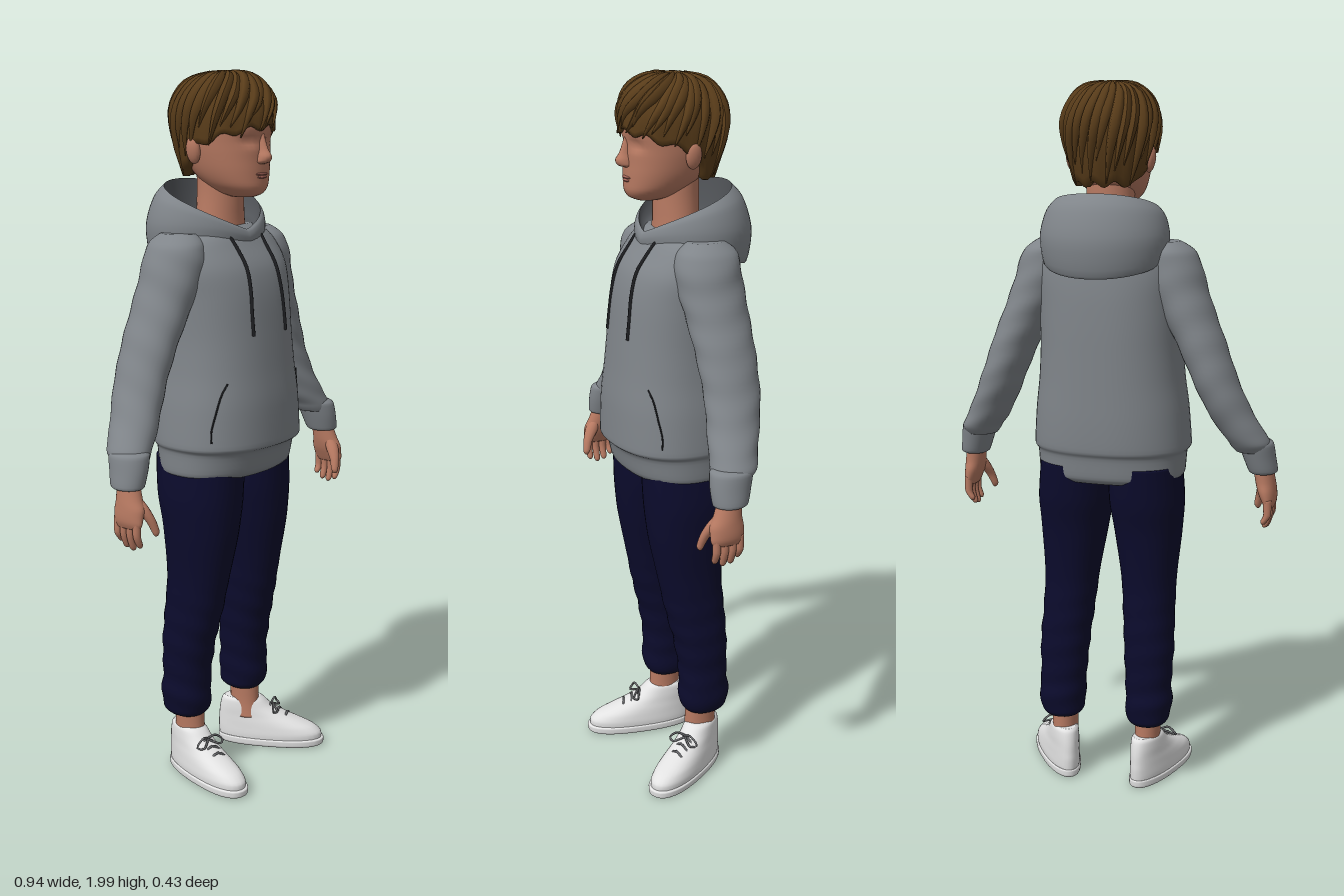
import * as THREE from 'three';

const paint = (name, color, side = THREE.FrontSide) => {
  const m = new THREE.MeshStandardMaterial({ color, side });
  m.name = name;
  return m;
};

// Smooth, overshoot-free interpolation of a table of section rows
function refine(rows, n = 4) {
  const slope = (i, k) => {
    if (i === 0 || i === rows.length - 1) return 0;
    const a = rows[i][k] - rows[i - 1][k], b = rows[i + 1][k] - rows[i][k];
    return a * b <= 0 ? 0 : 2 * a * b / (a + b);
  };
  const out = [];
  for (let i = 0; i < rows.length - 1; i++) for (let j = 0; j < n; j++) {
    const t = j / n, t2 = t * t, t3 = t2 * t;
    out.push(rows[i].map((a, k) => a * (2 * t3 - 3 * t2 + 1) + rows[i + 1][k] * (3 * t2 - 2 * t3)
      + slope(i, k) * (t3 - 2 * t2 + t) + slope(i + 1, k) * (t3 - t2)));
  }
  out.push(rows[rows.length - 1]);
  return out;
}

// Closed rings stacked from bottom to top; angle 0 is the front (+z)
function rings(count, seg, point, caps) {
  const pos = [], idx = [];
  for (let i = 0; i < count; i++) for (let j = 0; j < seg; j++) pos.push(...point(i, j / seg * Math.PI * 2).toArray());
  for (let i = 0; i < count - 1; i++) for (let j = 0; j < seg; j++) {
    const k = (j + 1) % seg, a = i * seg + j, b = i * seg + k;
    idx.push(a, b, a + seg, b, b + seg, a + seg);
  }
  if (caps) for (const i of [0, count - 1]) {
    const c = new THREE.Vector3(), n = pos.length / 3;
    for (let j = 0; j < seg; j++) c.add(point(i, j / seg * Math.PI * 2));
    pos.push(...c.divideScalar(seg).toArray());
    for (let j = 0; j < seg; j++) {
      const a = i * seg + j, b = i * seg + (j + 1) % seg;
      idx.push(...(i ? [a, b, n] : [b, a, n]));
    }
  }
  const g = new THREE.BufferGeometry();
  g.setAttribute('position', new THREE.Float32BufferAttribute(pos, 3));
  g.setIndex(idx);
  g.computeVertexNormals();
  return g;
}

// Rows are [y, centre x, front z, back z, half width]
function loft(rows, { seg = 32, p = 2, shape = null, n = 4 } = {}) {
  const d = refine(rows, n), pw = v => Math.sign(v) * Math.abs(v) ** (2 / p);
  return rings(d.length, seg, (i, a) => {
    const [y, x, f, b, r] = d[i];
    const v = new THREE.Vector3(r * pw(Math.sin(a)), y, (f - b) / 2 * pw(Math.cos(a)));
    if (shape) shape(v, a);
    return v.add(new THREE.Vector3(x, 0, (f + b) / 2));
  }, true);
}

const tube = (pts, r, n = 20) => new THREE.TubeGeometry(
  new THREE.CatmullRomCurve3(pts.map(q => new THREE.Vector3(...q))), n, r, 6);

const creases = (amount, freq, twist) => (v, a) => {
  const s = 1 + amount * Math.sin(v.y * freq + twist * Math.sin(a + 0.6));
  v.x *= s; v.z *= s;
};

const TORSO = [
  [0.905, 0, 0.14, -0.125, 0.19], [0.92, 0, 0.158, -0.138, 0.207], [0.98, 0, 0.175, -0.148, 0.212],
  [1.0, 0, 0.195, -0.158, 0.222], [1.1, 0, 0.192, -0.162, 0.215], [1.2, 0, 0.182, -0.162, 0.203],
  [1.3, 0, 0.172, -0.162, 0.198], [1.4, 0, 0.16, -0.16, 0.2], [1.47, 0, 0.142, -0.155, 0.205],
  [1.53, 0, 0.105, -0.145, 0.195], [1.565, 0, 0.08, -0.13, 0.16], [1.585, 0, 0.055, -0.11, 0.11]];
const TORSO_P = 2.3;
const torsoFine = refine(TORSO, 8);
// Point lying just on the front of the sweatshirt
function onTorso(x, y) {
  const [, , f, b, r] = torsoFine.reduce((m, q) => Math.abs(q[0] - y) < Math.abs(m[0] - y) ? q : m);
  return [x, y, (f + b) / 2 + (f - b) / 2 * (1 - Math.abs(x / r) ** TORSO_P) ** (1 / TORSO_P) + 0.001];
}

// Hair surface: t = 0 at the crown, 1 at the hairline
function hairPoint(a, t, lift = 1) {
  const c = Math.cos(a);
  const line = (c > 0 ? 1.795 + 0.05 * c : 1.795 - 0.075 * Math.min(1, -c * 1.8)) + 0.008 * Math.sin(a * 11);
  const y = line + (1.992 - line) * Math.cos(t * Math.PI / 2);
  const h = (y - 1.865) / 0.127;
  const r = (h > 0 ? Math.sqrt(Math.max(0, 1 - h * h)) : 1 - 0.14 * h * h) * lift
    * (1 + 0.012 * Math.sin(a * 17 + t * 5));
  return new THREE.Vector3(0.124 * r * Math.sin(a), y + (lift - 1) * 0.1, 0.004 + 0.146 * r * c);
}

export function createModel() {
  const model = new THREE.Group();
  const skin = paint('skin', 0xb87a62), lip = paint('lips', 0xa5665a), brown = paint('hair brown', 0x5a3d1a);
  const grey = paint('sweatshirt grey', 0x80858a), dark = paint('hood lining', 0x505357, THREE.DoubleSide);
  const navy = paint('trouser navy', 0x0b0b2c), white = paint('shoe white', 0xe2e2e2);
  const cord = paint('cord black', 0x1e1f22), lace = paint('lace grey', 0x6a6b6e);
  const add = (name, geo, mat, parent = model) => {
    const m = new THREE.Mesh(geo, mat);
    m.name = name;
    parent.add(m);
    return m;
  };

  // Head and neck
  add('neck', loft([[1.52, 0, 0.065, -0.075, 0.085], [1.6, 0, 0.055, -0.07, 0.072], [1.68, 0, 0.055, -0.07, 0.066],
    [1.74, 0, 0.05, -0.07, 0.066]]), skin);
  add('head', loft([[1.662, 0, 0.105, 0.04, 0.028], [1.672, 0, 0.128, 0, 0.05], [1.695, 0, 0.138, -0.04, 0.075],
    [1.73, 0, 0.138, -0.08, 0.092], [1.765, 0, 0.137, -0.1, 0.101], [1.8, 0, 0.137, -0.115, 0.107],
    [1.85, 0, 0.142, -0.122, 0.111], [1.9, 0, 0.13, -0.12, 0.108], [1.95, 0, 0.085, -0.085, 0.075],
    [1.965, 0, 0.04, -0.04, 0.035]], {
    seg: 48, p: 2.15, shape: (v, a) => {
      if (Math.cos(a) > 0) v.z -= 0.012 * Math.exp(-(((Math.abs(v.x) - 0.042) / 0.022) ** 2) - ((v.y - 1.812) / 0.014) ** 2);
    } }), skin);
  add('nose', loft([[1.75, 0, 0.142, 0.11, 0.012], [1.757, 0, 0.16, 0.11, 0.02], [1.77, 0, 0.166, 0.11, 0.018],
    [1.79, 0, 0.154, 0.11, 0.012], [1.83, 0, 0.14, 0.11, 0.009]], { seg: 16 }), skin);
  for (const [name, y, r] of [['upperLip', 1.724, 0.027], ['lowerLip', 1.716, 0.022]]) {
    const m = add(name, new THREE.SphereGeometry(1, 16, 8), lip);
    m.scale.set(r, 0.005, 0.012);
    m.position.set(0, y, 0.131);
  }

  // Hair cap with overlapping swept locks
  const hair = new THREE.Group();
  hair.name = 'hair';
  model.add(hair);
  add('hairCap', rings(21, 80, (i, a) => i ? hairPoint(a, 1 - (i - 1) / 19)
    : hairPoint(a, 1).multiply(new THREE.Vector3(0.84, 1, 0.84)), true), brown, hair);
  for (let i = 0; i < 30; i++) {
    const a = i / 30 * Math.PI * 2, front = Math.max(0, Math.cos(a));
    const end = 0.93 + 0.08 * Math.sin(i * 2.4) + 0.05 * front;
    const path = [0.12, 0.35, 0.6, 0.8, 1].map(t =>
      hairPoint(a + 0.55 * (1 - t) * (1 + front), t * end, 1.005 + 0.015 * Math.sin(i * 3.7)));
    const curve = new THREE.CatmullRomCurve3(path), g = new THREE.TubeGeometry(curve, 14, 0.016, 6);
    const pos = g.attributes.position, v = new THREE.Vector3();
    for (let k = 0; k < pos.count; k++) {
      const t = Math.floor(k / 7) / 14, c = curve.getPointAt(t);
      v.fromBufferAttribute(pos, k).sub(c).multiplyScalar(0.08 + 0.92 * Math.sin(Math.PI * t ** 0.8)).add(c);
      pos.setXYZ(k, v.x, v.y, v.z);
    }
    g.computeVertexNormals();
    add('hairLock', g, brown, hair);
  }

  // Sweatshirt body, hem rib and hood
  add('sweatshirtBody', loft(TORSO, { seg: 56, p: TORSO_P, n: 5 }), grey);
  const hoodPart = rows => {
    const d = refine(rows, 5);
    return rings(d.length, 56, (i, a) => {
      const [k0, kf, d0, df] = d[i], f = (1 - Math.cos(a)) / 2, k = k0 + kf * f * f;
      return new THREE.Vector3(0.147 * k * Math.sin(a), 1.575 + 0.125 * f ** 0.56 + d0 + df * f,
        -0.035 + 0.12 * k * Math.cos(a));
    });
  };
  add('hood', hoodPart([[0.95, 0, -0.04, -0.18], [1.07, 0.26, -0.042, -0.18], [1.1, 0.38, -0.022, -0.11],
    [1.06, 0.2, -0.006, -0.03], [1, 0, 0, 0]]), grey);
  add('hoodLining', hoodPart([[1, 0, 0, 0], [0.95, 0, -0.012, -0.03], [0.82, 0, -0.02, -0.08], [0.5, 0, -0.02, -0.1]]), dark);

  for (const s of [1, -1]) {
    const side = s > 0 ? 'left' : 'right';
    const mirror = rows => rows.map(([y, x, ...r]) => [y, x * s, ...r]);

    const ear = add(side + 'Ear', new THREE.SphereGeometry(1, 16, 12), skin);
    ear.scale.set(0.014, 0.036, 0.022);
    ear.position.set(0.112 * s, 1.785, -0.008);
    ear.rotation.z = -0.15 * s;

    // Drawstring and pocket edge
    add(side + 'Drawstring', tube([1.565, 1.53, 1.48, 1.42, 1.36, 1.3].map((y, i) =>
      onTorso(s * (0.066 - 0.004 * Math.sin(i)), y)), 0.005), cord);
    add(side + 'PocketEdge', tube([[0.15, 1.18], [0.165, 1.15], [0.18, 1.1], [0.19, 1.05], [0.192, 1.02]].map(([x, y]) =>
      onTorso(s * x, y)), 0.0025), cord);

    // Sleeve and cuff
    add(side + 'Sleeve', loft(mirror([[1.0, 0.4, 0.07, -0.035, 0.044], [1.02, 0.397, 0.072, -0.05, 0.056],
      [1.06, 0.372, 0.066, -0.066, 0.06], [1.13, 0.335, 0.055, -0.09, 0.061], [1.2, 0.305, 0.05, -0.105, 0.062],
      [1.3, 0.264, 0.055, -0.11, 0.067], [1.4, 0.217, 0.065, -0.11, 0.075], [1.48, 0.184, 0.075, -0.108, 0.082],
      [1.54, 0.172, 0.065, -0.1, 0.07], [1.57, 0.16, 0.03, -0.07, 0.04]]),
    { n: 6, shape: creases(0.016, 75, 3) }), grey);
    add(side + 'Cuff', loft(mirror([[0.935, 0.43, 0.075, -0.005, 0.034], [0.94, 0.43, 0.083, -0.012, 0.04],
      [0.98, 0.42, 0.086, -0.025, 0.045], [1.02, 0.41, 0.082, -0.035, 0.049], [1.03, 0.405, 0.07, -0.025, 0.04]])), grey);

    // Hand
    add(side + 'Palm', loft(mirror([[0.835, 0.447, 0.09, 0.012, 0.012], [0.85, 0.446, 0.098, 0.005, 0.019],
      [0.88, 0.44, 0.098, 0.002, 0.026], [0.91, 0.435, 0.085, 0.006, 0.028], [0.95, 0.43, 0.07, 0.005, 0.028]])), skin);
    [0.016, 0.037, 0.059, 0.082].forEach((z, i) => {
      const tip = [0.79, 0.776, 0.772, 0.782][i];
      const row = (y, x, r) => [y, x, z + r, z - r, r];
      add(side + 'Finger', loft(mirror([row(tip, 0.436, 0.004), row(tip + 0.008, 0.438, 0.009),
        row(0.82, 0.448, 0.011), row(0.86, 0.447, 0.012)]), { seg: 12 }), skin);
    });
    add(side + 'Thumb', loft(mirror([[0.812, 0.402, 0.112, 0.103, 0.004], [0.822, 0.402, 0.117, 0.097, 0.01],
      [0.85, 0.41, 0.113, 0.086, 0.013], [0.885, 0.423, 0.1, 0.06, 0.017], [0.91, 0.43, 0.08, 0.05, 0.015]]),
    { seg: 14 }), skin);

    // Trouser leg; the right ankle stands a little nearer the middle
    const inward = s > 0 ? 0 : 0.02;
    const leg = rows => mirror(rows.map(([y, x, ...r]) => [y, x - inward * (1 - y / 0.95), ...r]));
    add(side + 'TrouserLeg', loft(leg([[0.185, 0.137, 0.022, -0.085, 0.048], [0.2, 0.137, 0.034, -0.1, 0.06],
      [0.25, 0.139, 0.04, -0.105, 0.066], [0.3, 0.136, 0.038, -0.1, 0.065], [0.4, 0.133, 0.052, -0.1, 0.07],
      [0.5, 0.126, 0.076, -0.095, 0.072], [0.6, 0.12, 0.096, -0.088, 0.076], [0.75, 0.112, 0.124, -0.1, 0.094],
      [0.85, 0.106, 0.132, -0.12, 0.104], [0.95, 0.1, 0.135, -0.13, 0.1]]),
    { p: 2.2, n: 6, shape: (v, a) => v.y < 0.62 && creases(0.024 * Math.min(1, (0.62 - v.y) * 6), 85, 2)(v, a) }), navy);
    add(side + 'Ankle', loft(leg([[0.09, 0.135, 0.03, -0.075, 0.038], [0.14, 0.135, 0.022, -0.07, 0.036],
      [0.22, 0.135, 0.02, -0.07, 0.04]])), skin);

    // Shoe, toes turned outward
    const shoe = new THREE.Group();
    shoe.name = side + 'Shoe';
    shoe.position.set(s > 0 ? 0.135 : -0.117, 0, -0.03);
    shoe.rotation.y = s > 0 ? 0.56 : -0.2;
    model.add(shoe);
    const egg = (v, a) => { v.x *= 1 + 0.12 * Math.cos(a); };
    add('sole', loft([[0, 0, 0.238, -0.068, 0.05], [0.006, 0, 0.246, -0.074, 0.056], [0.02, 0, 0.247, -0.075, 0.057],
      [0.024, 0, 0.242, -0.072, 0.053]], { p: 2.3, shape: egg }), white, shoe);
    add('upper', loft([[0.015, 0, 0.24, -0.071, 0.052], [0.035, 0, 0.24, -0.073, 0.054], [0.055, 0, 0.222, -0.074, 0.052],
      [0.073, 0, 0.182, -0.073, 0.049], [0.092, 0, 0.135, -0.072, 0.045], [0.115, 0, 0.09, -0.069, 0.042],
      [0.138, 0, 0.064, -0.063, 0.038], [0.146, 0, 0.052, -0.055, 0.031]], { p: 2.2, shape: egg }), white, shoe);
    for (const [z, y] of [[0.085, 0.118], [0.11, 0.106], [0.135, 0.094]])
      add('lace', tube([[-0.034, y - 0.022, z - 0.008], [0, y + 0.003, z], [0.034, y - 0.022, z + 0.006]], 0.0035, 10), lace, shoe);
    for (const d of [1, -1])
      add('bowLoop', tube([[0, 0.124, 0.086], [0.022 * d, 0.132, 0.094], [0.046 * d, 0.112, 0.098],
        [0.03 * d, 0.108, 0.108], [0, 0.122, 0.09]], 0.0032, 16), lace, shoe);
  }
  return model;
}
